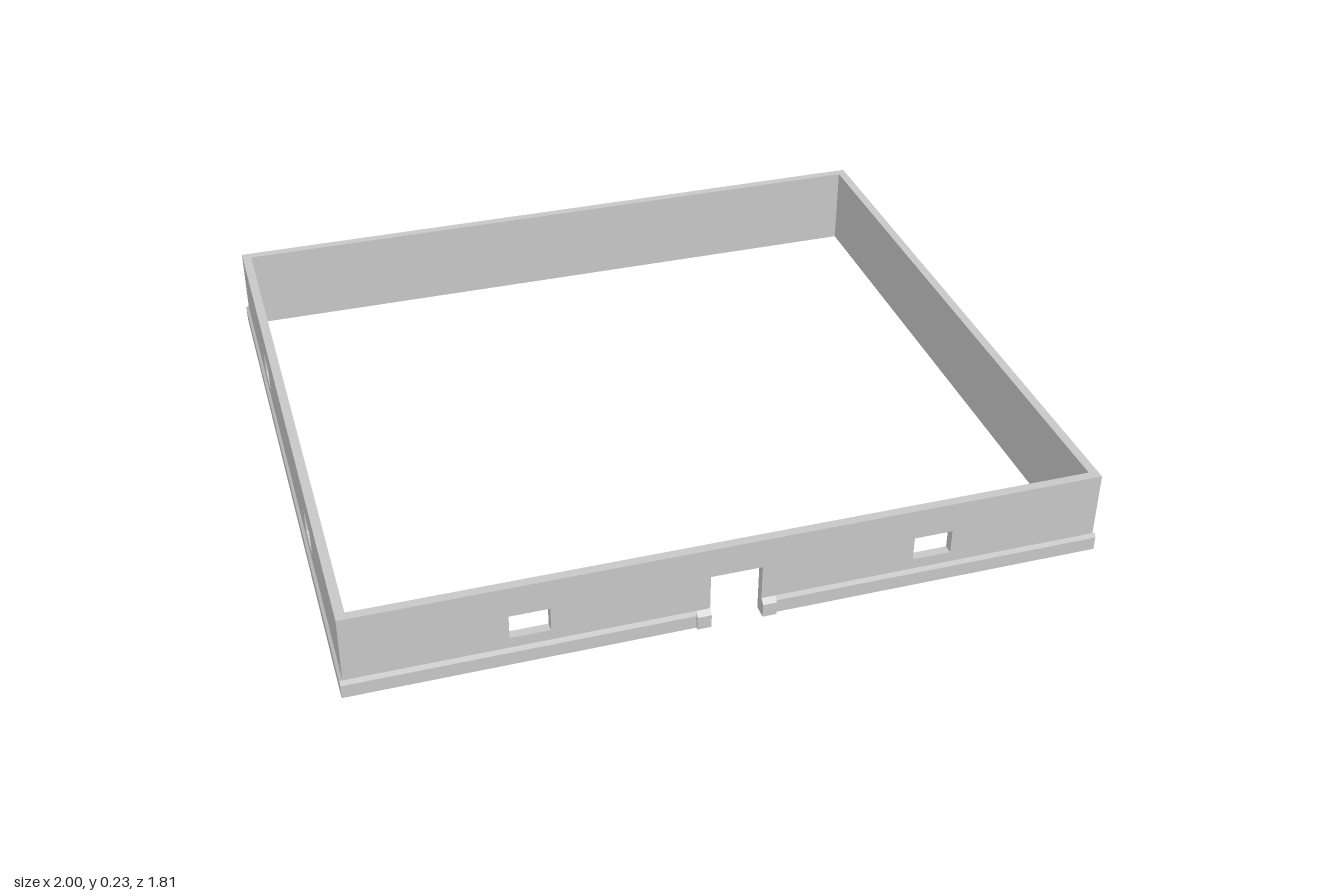
import * as THREE from 'three';

const HEIGHT = 0.235, THICK = 0.025;
const X = 0.993, FRONT = 0.891, BACK = -0.899; // outer wall faces

export function createModel() {
  const group = new THREE.Group();
  const material = new THREE.MeshStandardMaterial({ color: 0xcccccc, flatShading: true });

  const add = (name, geometry, parent = group) => {
    const mesh = new THREE.Mesh(geometry, material);
    mesh.name = name;
    parent.add(mesh);
    return mesh;
  };

  // Wall drawn in its own plane: outer face at z = 0, thickness behind it
  function wall(name, from, to, windows = [], door = 0) {
    const outline = [[from, 0]];
    if (door) outline.push([-door, 0], [-door, 0.15], [door, 0.15], [door, 0]);
    outline.push([to, 0], [to, HEIGHT], [from, HEIGHT]);
    const shape = new THREE.Shape(outline.map(p => new THREE.Vector2(...p)));
    for (const c of windows) {
      const hole = new THREE.Path();
      hole.moveTo(c - 0.052, 0.08);
      hole.lineTo(c - 0.052, 0.148);
      hole.lineTo(c + 0.052, 0.148);
      hole.lineTo(c + 0.052, 0.08);
      hole.closePath();
      shape.holes.push(hole);
    }
    const geometry = new THREE.ExtrudeGeometry(shape, { depth: THICK, bevelEnabled: false });
    return add(name, geometry.translate(0, 0, -THICK));
  }

  // Low strip with a sloping top, running along x and projecting towards +z
  function plinth(name, from, to, depth, parent) {
    const shape = new THREE.Shape([[0, 0], [0, 0.05], [-depth, 0.038], [-depth, 0]]
      .map(p => new THREE.Vector2(...p)));
    const geometry = new THREE.ExtrudeGeometry(shape, { depth: to - from, bevelEnabled: false });
    geometry.rotateY(Math.PI / 2).translate(from, 0, 0);
    return add(name, geometry, parent);
  }

  // Front wall with doorway and two windows
  const front = wall('frontWall', -X, X, [-0.53, 0.53], 0.068);
  front.position.z = FRONT;
  plinth('frontPlinth', -1, -0.105, 0.006, front);
  plinth('frontPlinth', 0.105, 1, 0.006, front);
  // Stone blocks at the foot of each door jamb
  for (const s of [-1, 1]) plinth('doorBlock', s * 0.0865 - 0.0185, s * 0.0865 + 0.0185, 0.014, front);

  // Plain back wall
  const back = wall('backWall', -X, X);
  back.rotation.y = Math.PI;
  back.position.z = BACK;
  plinth('backPlinth', -1, 1, 0.006, back);

  // Side walls fit between front and back; only the right-hand one has windows
  for (const side of [-1, 1]) {
    // along-wall coordinate is z on the -x side and -z on the +x side
    const ends = [BACK + THICK, FRONT - THICK].map(z => -side * z).sort((a, b) => a - b);
    const outer = [BACK, FRONT].map(z => -side * z).sort((a, b) => a - b);
    const mesh = wall(side > 0 ? 'leftWall' : 'rightWall', ...ends, side < 0 ? [-0.41, 0.38] : []);
    mesh.rotation.y = side * Math.PI / 2;
    mesh.position.x = side * X;
    plinth('sidePlinth', ...outer, 0.007, mesh);
  }
  return group;
}
